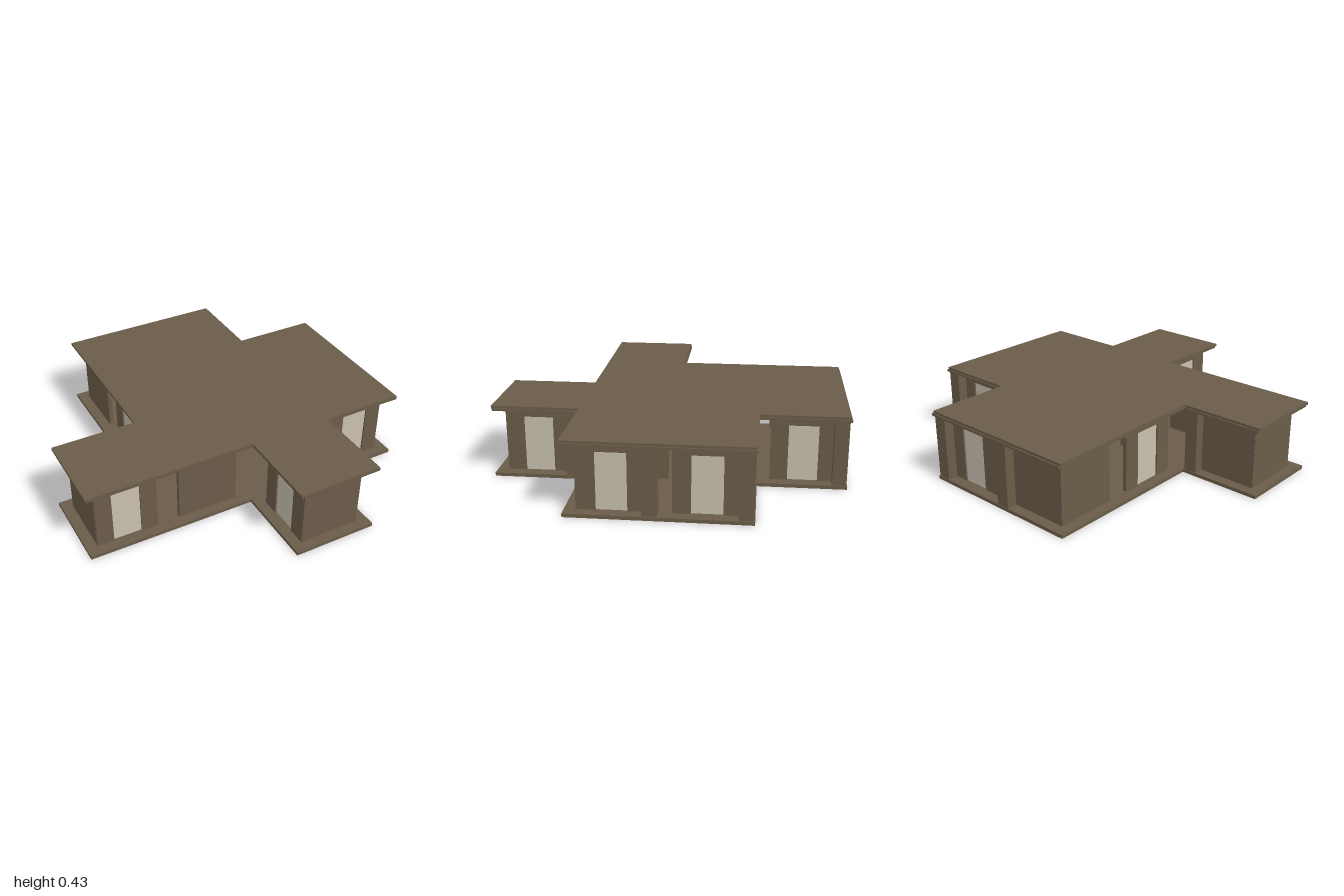
import * as THREE from 'three';

const brown = new THREE.MeshStandardMaterial({ color: 0x6b5c49 });
brown.name = 'brown plaster';
const cream = new THREE.MeshStandardMaterial({ color: 0xc9c1b1 });
cream.name = 'pale glass';

const FLOOR = 0.02, CEILING = 0.397, CELL = 0.5;

function addMesh(parent, name, geometry, material, x = 0, y = 0, z = 0) {
  const mesh = new THREE.Mesh(geometry, material);
  mesh.name = name;
  mesh.position.set(x, y, z);
  parent.add(mesh);
  return mesh;
}

// Stepped footprint shared by floor and roof, given as (x, z) corners
const footprint = [
  [-0.5, -1], [0.5, -1], [0.5, -0.5], [1, -0.5], [1, 0.5], [0.5, 0.5],
  [0.5, 1], [0, 1], [0, 0.5], [-1, 0.5], [-1, 0], [-0.5, 0],
];

function slab(parent, name, y0, y1, dx, dz) {
  const shape = new THREE.Shape(footprint.map(([x, z]) => new THREE.Vector2(x, -z)));
  const geometry = new THREE.ExtrudeGeometry(shape, { depth: y1 - y0, bevelEnabled: false });
  geometry.rotateX(-Math.PI / 2);
  addMesh(parent, name, geometry, brown, dx, y0, dz);
}

// One wall panel facing +z, with its outer face at z = 0
function wallPanel(hasWindow) {
  const group = new THREE.Group();
  const half = 0.1825, depth = 0.024, open = 0.084, top = 0.345;
  const points = [[-half, FLOOR]];
  if (hasWindow) points.push([-open, FLOOR], [-open, top], [open, top], [open, FLOOR]);
  points.push([half, FLOOR], [half, CEILING], [-half, CEILING]);
  const shape = new THREE.Shape(points.map(([x, y]) => new THREE.Vector2(x, y)));
  const geometry = new THREE.ExtrudeGeometry(shape, { depth, bevelEnabled: false });
  addMesh(group, 'wallPanel', geometry, brown, 0, 0, -depth);
  if (hasWindow) {
    const pane = new THREE.BoxGeometry(open * 2, top - FLOOR, 0.006);
    addMesh(group, 'windowPane', pane, cream, 0, (top + FLOOR) / 2, -0.012);
  }
  return group;
}

// Where a wall sits inside its cell, and how far it turns
const sides = {
  front: { x: 0.24, z: 0.446, turn: 0 },
  right: { x: 0.43, z: 0.255, turn: Math.PI / 2 },
  back: { x: 0.24, z: 0.07, turn: Math.PI },
  left: { x: 0.056, z: 0.255, turn: -Math.PI / 2 },
};

// Occupied cells (column, row) with their outer walls; true means a window
const cells = [
  { c: 1, r: 0, walls: { back: false, left: false } },
  { c: 2, r: 0, walls: { back: true, right: true } },
  { c: 1, r: 1, walls: { left: true } },
  { c: 2, r: 1, walls: {} },
  { c: 3, r: 1, walls: { back: true, right: true } },
  { c: 0, r: 2, walls: { front: true, back: false, left: false } },
  { c: 1, r: 2, walls: { front: false } },
  { c: 2, r: 2, walls: {} },
  { c: 3, r: 2, walls: { front: true, right: true } },
  { c: 2, r: 3, walls: { front: false, left: true, right: true } },
];

export function createModel() {
  const model = new THREE.Group();
  model.name = 'pavilion';

  slab(model, 'floor', 0, FLOOR, -0.007, 0.007);
  slab(model, 'roofCornice', CEILING, 0.41, 0, 0);
  slab(model, 'roof', 0.41, 0.425, -0.007, 0.007);

  // Each cell has a square pillar in its back right corner and its own walls
  const pillar = new THREE.BoxGeometry(0.08, CEILING - FLOOR, 0.08);
  for (const { c, r, walls } of cells) {
    const room = new THREE.Group();
    room.name = 'room';
    room.position.set(-1 + c * CELL, 0, -1 + r * CELL);
    addMesh(room, 'pillar', pillar, brown, 0.447, (CEILING + FLOOR) / 2, 0.051);
    for (const [side, hasWindow] of Object.entries(walls)) {
      const { x, z, turn } = sides[side];
      const wall = wallPanel(hasWindow);
      wall.name = side + 'Wall';
      wall.position.set(x, 0, z);
      wall.rotation.y = turn;
      room.add(wall);
    }
    model.add(room);
  }
  return model;
}
